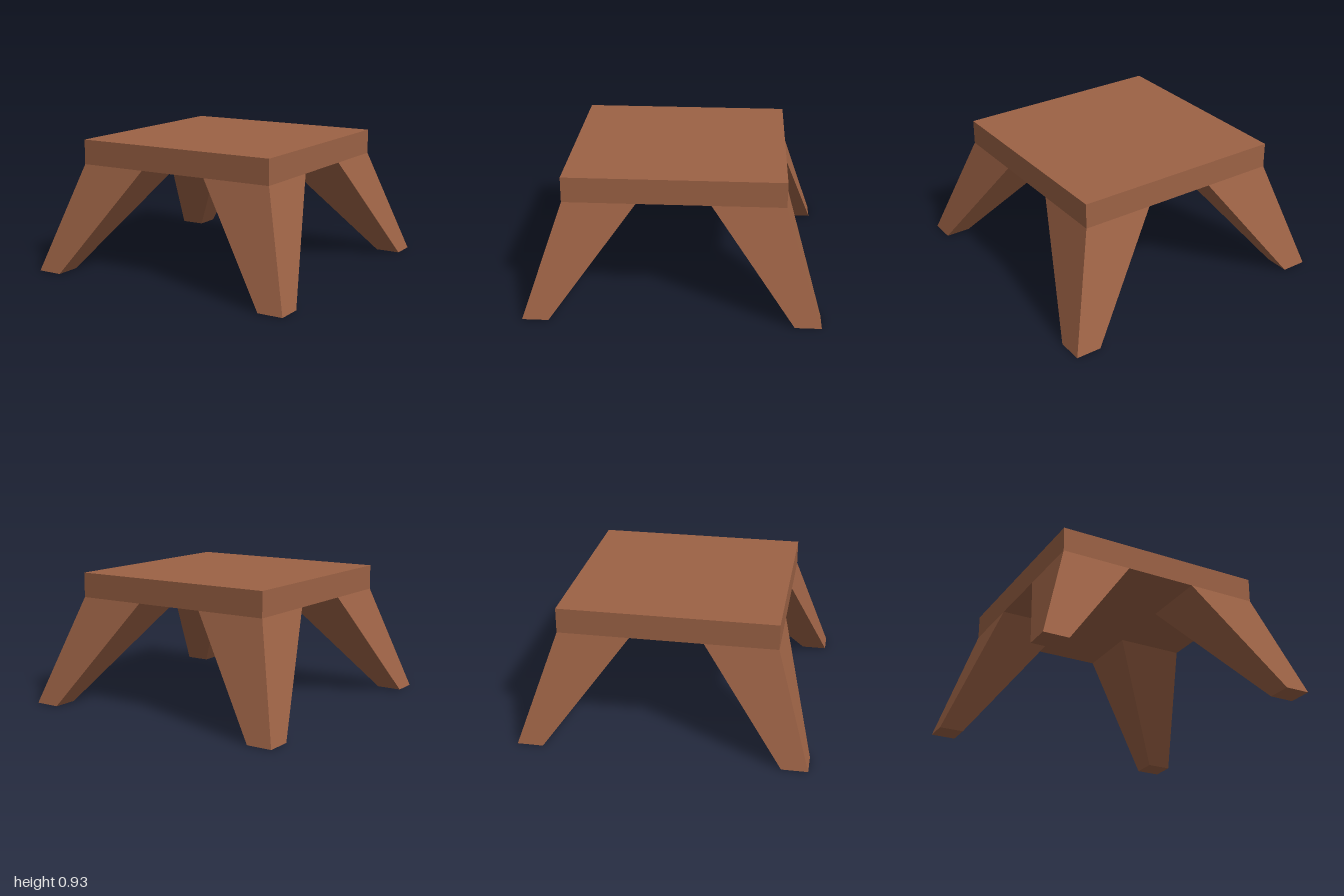
import * as THREE from 'three';

const TOP_Y = 0.93, UNDER_Y = 0.755, CENTRE = -0.005, HALF = 0.745;

// Tapered block: the unit box is remapped to one rectangle at the foot and another at the top
function taperedLeg(foot, head, material) {
  const box = new THREE.BoxGeometry(1, 1, 1);
  const p = box.attributes.position;
  for (let i = 0; i < p.count; i++) {
    const upper = p.getY(i) > 0;
    const r = upper ? head : foot;
    p.setXYZ(i,
      r.x + p.getX(i) * r.size,
      upper ? UNDER_Y : 0,
      r.z + p.getZ(i) * r.size);
  }
  const geometry = box.toNonIndexed();
  geometry.computeVertexNormals();
  return new THREE.Mesh(geometry, material);
}

export function createModel() {
  const group = new THREE.Group();
  group.name = 'lowTable';
  const wood = new THREE.MeshStandardMaterial({ color: 0x9c6245 });
  wood.name = 'brown wood';

  // Square slab
  const slab = new THREE.Mesh(
    new THREE.BoxGeometry(HALF * 2, TOP_Y - UNDER_Y, HALF * 2), wood);
  slab.position.set(CENTRE, (TOP_Y + UNDER_Y) / 2, CENTRE);
  slab.name = 'tableTop';
  group.add(slab);

  // Splayed legs, flush with the slab corners; x and z are the outer corner of each foot
  const feet = [
    ['frontLeftLeg', 0.987, 0.995],
    ['frontRightLeg', -0.99, 0.98],
    ['backLeftLeg', 0.987, -1],
    ['backRightLeg', -0.98, -1],
  ];
  const footSize = 0.178, headSize = 0.495;
  for (const [name, x, z] of feet) {
    const sx = Math.sign(x), sz = Math.sign(z);
    const inset = HALF - headSize / 2;
    const leg = taperedLeg(
      { x: x - sx * footSize / 2, z: z - sz * footSize / 2, size: footSize },
      { x: CENTRE + sx * inset, z: CENTRE + sz * inset, size: headSize },
      wood);
    leg.name = name;
    group.add(leg);
  }
  return group;
}
